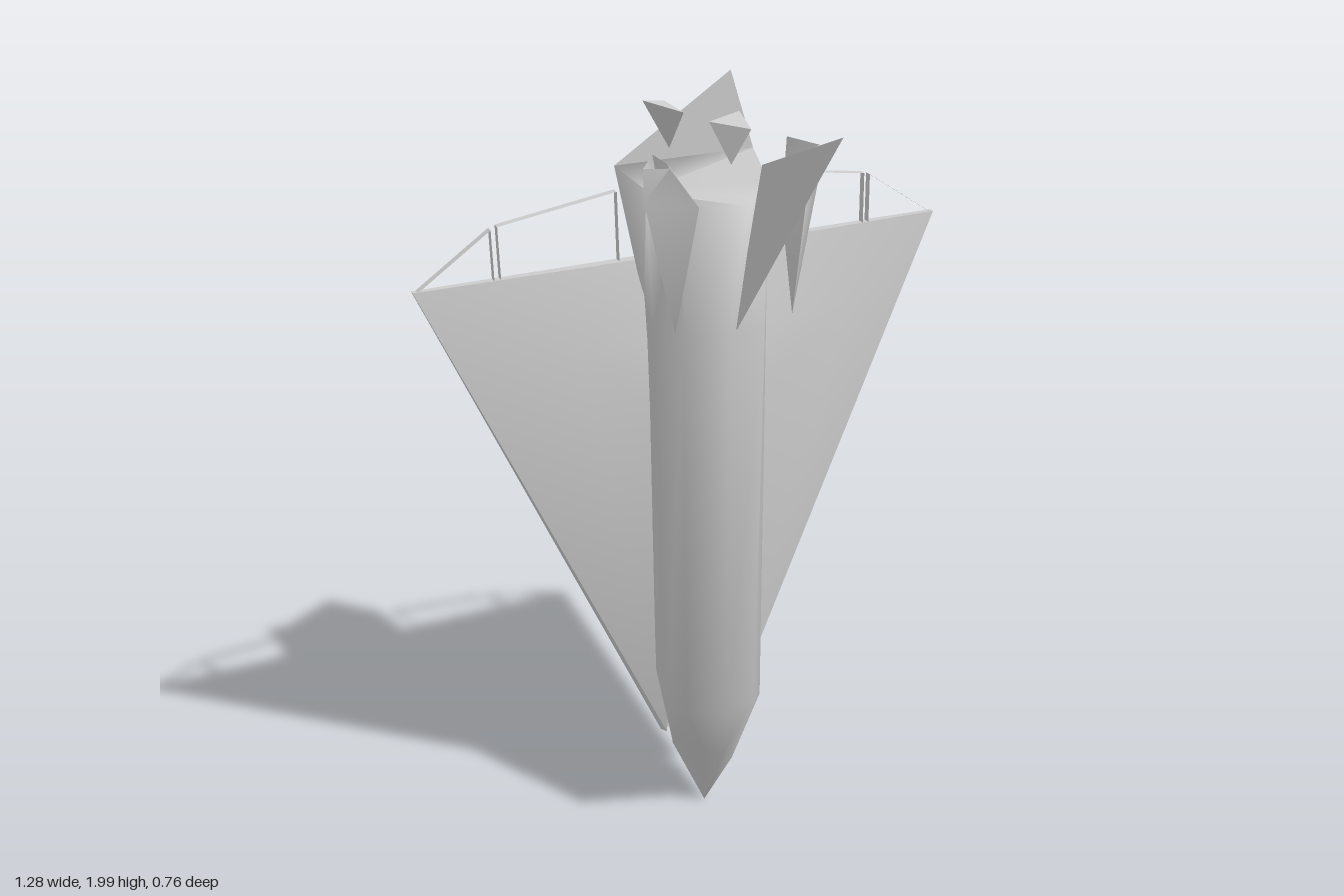
import * as THREE from 'three';
import { toCreasedNormals } from 'three/addons/utils/BufferGeometryUtils.js';

const grey = new THREE.MeshStandardMaterial({ color: 0xcccccc, side: THREE.DoubleSide });
grey.name = 'hull grey';

function mesh(name, points, index, crease = 0.9) {
  const g = new THREE.BufferGeometry();
  g.setAttribute('position', new THREE.Float32BufferAttribute(points.flat(), 3));
  g.setIndex(index);
  const m = new THREE.Mesh(toCreasedNormals(g, crease), grey);
  m.name = name;
  return m;
}

// Skin between rings of [x, y, z]; rings run upward, points counterclockwise from above
function loft(name, rings, { top = false, crease = 0.9 } = {}) {
  const n = rings[0].length, index = [], last = (rings.length - 1) * n;
  for (let r = 0; r < rings.length - 1; r++) {
    for (let j = 0; j < n; j++) {
      const a = r * n + j, b = r * n + (j + 1) % n;
      index.push(a, b, b + n, a, b + n, a + n);
    }
  }
  if (top) for (let j = 1; j < n - 1; j++) index.push(last, last + j, last + j + 1);
  return mesh(name, rings.flat(), index, crease);
}

const repeat = (p, n) => Array.from({ length: n }, () => [...p]);

// Delta wing half: raised shoulder in front, flat behind
function wing(side) {
  const shoulder = side > 0 ? 0.39 : 0.28;
  const pts = [
    [0.64, 1.55, -0.348], [0.06, 1.55, -0.335], [0.06, 1.37, -0.285],
    [shoulder, 1.37, -0.31], [0.06, 1.14, -0.275], [0.09, 0.24, -0.345],
    [0.64, 1.55, -0.362], [0.11, 1.55, -0.362], [0.06, 0.24, -0.362], [0.1, 0.24, -0.362],
  ].map(([x, y, z]) => [x * side, y, z]);
  const index = [
    1, 2, 3, 1, 3, 0, 2, 4, 3, 4, 5, 3, 5, 0, 3,
    7, 6, 9, 7, 9, 8, 0, 6, 7, 0, 7, 1, 5, 9, 6, 5, 6, 0,
  ];
  if (side < 0) index.reverse();
  return mesh(side > 0 ? 'leftWing' : 'rightWing', pts, index, 1.0);
}

// Open elevon rim: a ribbon through the given [x, y] points
function elevonRim(name, path, side) {
  const pts = [], index = [];
  path.forEach(([x, y], i) => {
    pts.push([x * side, y, -0.343], [x * side, y, -0.362]);
    if (i) {
      const a = 2 * i - 2;
      index.push(a, a + 1, a + 3, a, a + 3, a + 2);
    }
  });
  return mesh(name, pts, index, 0.2);
}

// Tail pod: open cup tapering to a point below
function pod(side) {
  const out = side > 0 ? 0.19 : 0.21;
  let rings = [
    repeat([0.14, 1.46, -0.1], 4),
    [[out, 1.77, -0.08], [0.15, 1.77, -0.165], [0.11, 1.76, -0.11], [0.122, 1.77, 0]],
    [[out, 1.84, -0.08], [0.155, 1.84, -0.165], [0.14, 1.83, -0.12], [0.16, 1.84, -0.06]],
    repeat([0.155, 1.7, -0.1], 4),
  ].map(r => r.map(([x, y, z]) => [x * side, y, z]));
  if (side < 0) rings = rings.map(r => r.reverse());
  return loft(side > 0 ? 'leftPod' : 'rightPod', rings, { crease: 1.3 });
}

export function createModel() {
  const model = new THREE.Group();
  model.name = 'spaceplane';

  // Fuselage, from the nose tip at the bottom to the tail at the top
  model.add(loft('fuselage', [
    repeat([0, 0.01, -0.315], 8),
    [[-0.085, 0.22, -0.32], [-0.03, 0.23, -0.255], [0.01, 0.22, -0.215], [0.04, 0.2, -0.22],
      [0.065, 0.21, -0.26], [0.08, 0.22, -0.33], [0, 0.22, -0.348], [-0.08, 0.22, -0.335]],
    [[-0.143, 0.45, -0.2], [-0.125, 0.45, -0.12], [-0.03, 0.45, -0.09], [0.05, 0.45, -0.105],
      [0.105, 0.4, -0.19], [0.1, 0.4, -0.33], [0, 0.45, -0.377], [-0.12, 0.45, -0.33]],
    [[-0.155, 1.45, -0.19], [-0.12, 1.45, -0.1], [-0.03, 1.45, -0.06], [0.06, 1.45, -0.075],
      [0.115, 1.45, -0.18], [0.1, 1.45, -0.33], [0, 1.45, -0.38], [-0.12, 1.45, -0.33]],
    [[-0.165, 1.76, -0.18], [-0.12, 1.76, -0.11], [0.01, 1.74, -0.055], [0.07, 1.74, -0.09],
      [0.12, 1.74, -0.18], [0.155, 1.77, -0.335], [0, 1.77, -0.338], [-0.175, 1.77, -0.34]],
  ], { top: true, crease: 1.75 }));

  // Upright flap behind the engines
  model.add(mesh('bodyFlap',
    [[-0.175, 1.77, -0.34], [0.155, 1.77, -0.335], [0.1, 1.95, -0.332]], [0, 1, 2]));

  // Tail fin: thin wedge
  model.add(loft('tailFin', [
    [[-0.02, 1.47, -0.045], [-0.017, 1.475, -0.043], [-0.02, 1.475, -0.046]],
    [[-0.008, 1.74, 0.17], [0.008, 1.68, 0.0], [-0.015, 1.66, 0.0]],
    [[-0.004, 1.86, 0.265], [0.008, 1.86, 0.055], [-0.008, 1.86, 0.055]],
    repeat([0, 2.0, 0.38], 3),
  ], { crease: 0.4 }));

  for (const side of [1, -1]) {
    model.add(wing(side), pod(side));
    const word = side > 0 ? 'left' : 'right';
    model.add(elevonRim(word + 'InnerElevonRim',
      [[0.17, 1.55], [0.17, 1.71], [0.445, 1.67], [0.445, 1.55]], side));
    model.add(elevonRim(word + 'OuterElevonRim',
      [[0.46, 1.55], [0.46, 1.665], [0.63, 1.55]], side));
  }

  // Engine nozzles: three-sided flares
  model.add(loft('upperNozzle', [
    repeat([-0.08, 1.82, -0.255], 3),
    [[-0.14, 1.93, -0.25], [-0.07, 1.91, -0.195], [-0.085, 1.92, -0.265]],
  ], { top: true, crease: 0.2 }));
  model.add(loft('lowerNozzle', [
    repeat([-0.01, 1.82, -0.09], 3),
    [[-0.05, 1.91, -0.11], [0.02, 1.9, -0.055], [0.025, 1.92, -0.125]],
  ], { top: true, crease: 0.2 }));

  return model;
}
